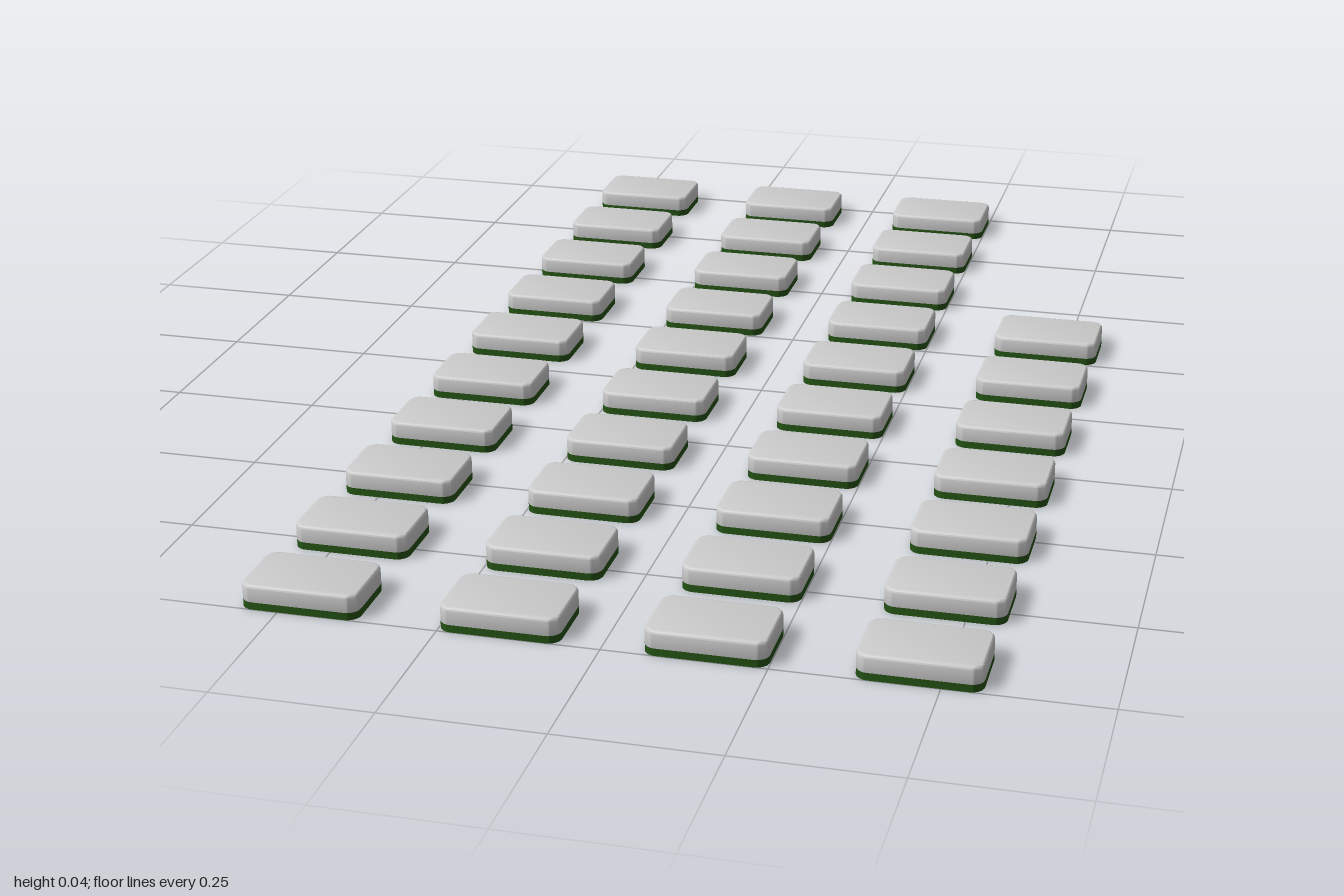
import * as THREE from 'three';
import { toCreasedNormals } from 'three/addons/utils/BufferGeometryUtils.js';

const W = 0.186, D = 0.12, H = 0.04;   // tile size
const BASE = 0.012, BEVEL = 0.005, R = 0.02;

// Rounded rectangle seen from above
function tileOutline() {
  const x = W / 2, y = D / 2;
  const s = new THREE.Shape();
  s.moveTo(-x + R, -y);
  s.lineTo(x - R, -y);
  s.absarc(x - R, -y + R, R, -Math.PI / 2, 0);
  s.lineTo(x, y - R);
  s.absarc(x - R, y - R, R, 0, Math.PI / 2);
  s.lineTo(-x + R, y);
  s.absarc(-x + R, y - R, R, Math.PI / 2, Math.PI);
  s.lineTo(-x, -y + R);
  s.absarc(-x + R, -y + R, R, Math.PI, Math.PI * 1.5);
  return s;
}

// Upright slab whose straight wall runs from y0 up
function slab(y0, depth, bevel) {
  const g = new THREE.ExtrudeGeometry(tileOutline(), {
    depth, curveSegments: 4, bevelEnabled: bevel > 0,
    bevelSize: bevel, bevelThickness: bevel, bevelOffset: -bevel, bevelSegments: 3,
  });
  g.rotateX(-Math.PI / 2);
  g.translate(0, y0, 0);
  return toCreasedNormals(g, 0.65);
}

export function createModel() {
  const model = new THREE.Group();
  model.name = 'tileSet';
  const grey = new THREE.MeshStandardMaterial({ color: 0xcccccc });
  const green = new THREE.MeshStandardMaterial({ color: 0x245214 });

  const baseGeo = slab(0, BASE, 0);
  const bodyGeo = slab(BASE, H - BASE - BEVEL, BEVEL);

  // Four columns of ten tiles; the last column lacks its three rear tiles
  for (let c = 0; c < 4; c++) {
    for (let r = c === 3 ? 3 : 0; r < 10; r++) {
      const tile = new THREE.Group();
      tile.name = `tile_${c + 1}_${r + 1}`;
      const back = new THREE.Mesh(baseGeo, green);
      back.name = 'tileBack';
      const body = new THREE.Mesh(bodyGeo, grey);
      body.name = 'tileBody';
      tile.add(back, body);
      tile.position.set((c - 1.5) * 0.3115, 0, (r - 4.5) * (2 - D) / 9);
      model.add(tile);
    }
  }
  return model;
}
